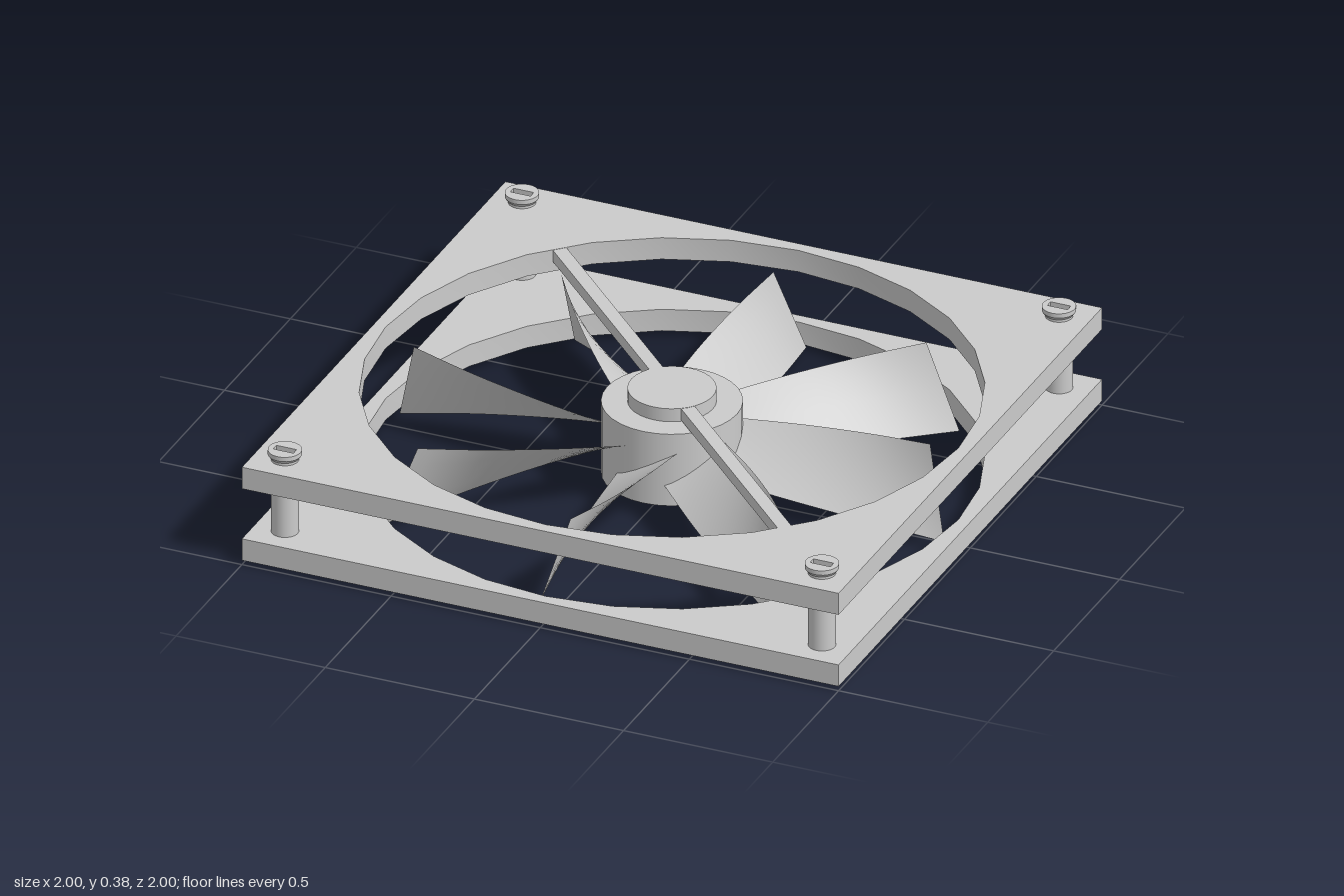
import * as THREE from 'three';
import { toCreasedNormals } from 'three/addons/utils/BufferGeometryUtils.js';

const grey = new THREE.MeshStandardMaterial({ color: 0xcccccc });
const greyDouble = new THREE.MeshStandardMaterial({ color: 0xcccccc, side: THREE.DoubleSide });

function add(parent, name, geometry, x = 0, y = 0, z = 0, material = grey) {
  const mesh = new THREE.Mesh(geometry, material);
  mesh.name = name;
  mesh.position.set(x, y, z);
  parent.add(mesh);
  return mesh;
}

// Cylinder standing between two heights
function disc(parent, name, rTop, rBottom, y0, y1, sides = 32) {
  return add(parent, name, new THREE.CylinderGeometry(rTop, rBottom, y1 - y0, sides), 0, (y0 + y1) / 2);
}

// Flat shape lying in the ground plane, extruded upwards
function slab(shape, height) {
  const g = new THREE.ExtrudeGeometry(shape, { depth: height, bevelEnabled: false, curveSegments: 24 });
  return toCreasedNormals(g.rotateX(-Math.PI / 2), 0.5);
}

function ngon(radius, sides) {
  return Array.from({ length: sides }, (_, i) => {
    const a = (i / sides) * Math.PI * 2;
    return new THREE.Vector2(radius * Math.cos(a), radius * Math.sin(a));
  });
}

function rectangle(w, h) {
  return [[-w, -h], [w, -h], [w, h], [-w, h]].map(([x, y]) => new THREE.Vector2(x / 2, y / 2));
}

// Twisted blade pointing along +z, lofted between its lower and upper edge curves
function bladeGeometry() {
  const curve = (pts) => new THREE.CatmullRomCurve3(pts.map((p) => new THREE.Vector3(...p)));
  const lower = curve([[-0.1, 0.115, 0.19], [-0.095, 0.09, 0.43], [-0.072, 0.058, 0.7], [-0.04, 0.025, 0.93]]);
  const upper = curve([[0.1, 0.225, 0.19], [0.092, 0.255, 0.42], [0.069, 0.285, 0.65], [0.035, 0.312, 0.85]]);
  const across = 4, along = 14;
  const g = new THREE.PlaneGeometry(1, 1, across, along);
  const pos = g.attributes.position;
  for (let i = 0; i < pos.count; i++) {
    const u = pos.getX(i) + 0.5, v = 0.5 - pos.getY(i);
    const p = lower.getPoint(v).lerp(upper.getPoint(v), u);
    pos.setXYZ(i, p.x, p.y, p.z);
  }
  g.computeVertexNormals();
  return g;
}

export function createModel() {
  const model = new THREE.Group();
  model.name = 'fan';

  // Square frame plates with a round opening
  const plate = new THREE.Shape(rectangle(2, 2));
  plate.holes.push(new THREE.Path(ngon(0.96, 28)));
  const plateGeometry = slab(plate, 0.075);
  add(model, 'bottomPlate', plateGeometry, 0, 0.015, 0);
  add(model, 'topPlate', plateGeometry, 0, 0.265, 0);

  // Corner posts with slotted screw heads
  const head = new THREE.Shape(ngon(0.053, 24));
  head.holes.push(new THREE.Path(rectangle(0.068, 0.025)));
  const headGeometry = slab(head, 0.015);
  for (const x of [-0.9, 0.9]) {
    for (const z of [-0.9, 0.9]) {
      const post = new THREE.Group();
      post.name = 'cornerPost';
      post.position.set(x, 0, z);
      disc(post, 'postShaft', 0.043, 0.043, 0, 0.352, 24);
      disc(post, 'screwHeadBase', 0.053, 0.046, 0.35, 0.36, 24);
      add(post, 'screwHead', headGeometry, 0, 0.36, 0);
      model.add(post);
    }
  }

  // Motor mount: diagonal bar and centre disc, flush with the top plate
  const bar = add(model, 'mountBar', new THREE.BoxGeometry(1.93, 0.04, 0.045), 0, 0.319, 0);
  bar.rotation.y = -Math.PI / 4;
  disc(model, 'mountDisc', 0.137, 0.137, 0.285, 0.34);

  // Rotor
  const rotor = new THREE.Group();
  rotor.name = 'rotor';
  model.add(rotor);
  disc(rotor, 'hub', 0.218, 0.218, 0.045, 0.295);
  const blade = bladeGeometry();
  for (let i = 0; i < 8; i++) {
    add(rotor, 'blade', blade, 0, 0, 0, greyDouble).rotation.y = (i * Math.PI) / 4;
  }
  return model;
}
